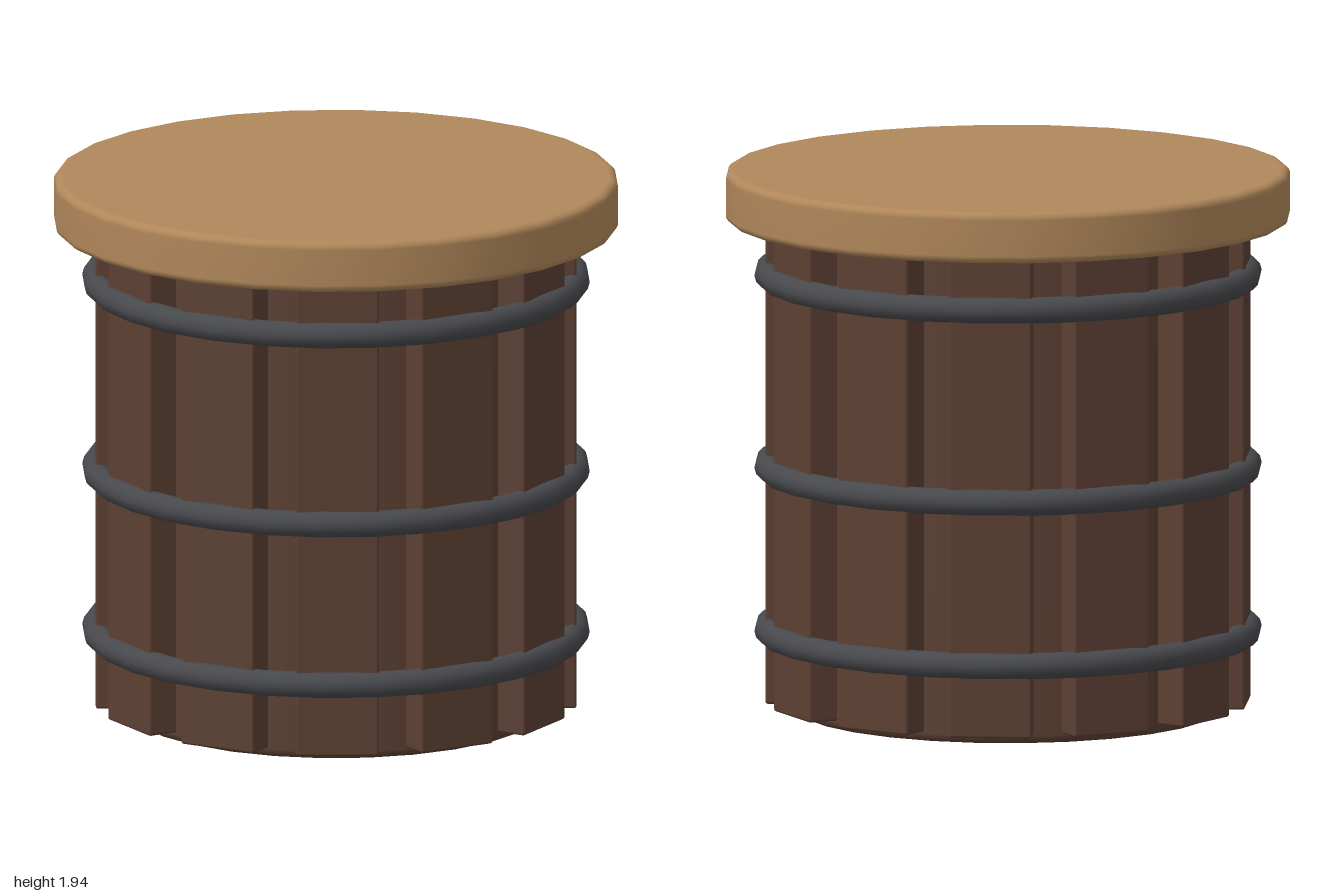
import * as THREE from 'three';
import { RoundedBoxGeometry } from 'three/addons/geometries/RoundedBoxGeometry.js';

const SIDES = 28;

// Solid disc or drum with softly rounded rims
function roundedDrum(radius, y0, y1, bevel) {
  const pts = [new THREE.Vector2(0, y0), new THREE.Vector2(radius - bevel - 0.004, y0)];
  const arc = (cy, from) => {
    for (let i = 0; i <= 4; i++) {
      const a = from + (i / 4) * Math.PI / 2;
      pts.push(new THREE.Vector2(radius - bevel + bevel * Math.cos(a), cy + bevel * Math.sin(a)));
    }
  };
  arc(y0 + bevel, -Math.PI / 2);
  arc(y1 - bevel, 0);
  pts.push(new THREE.Vector2(radius - bevel - 0.004, y1), new THREE.Vector2(0, y1));
  return new THREE.LatheGeometry(pts, SIDES);
}

export function createModel() {
  const darkWood = new THREE.MeshStandardMaterial({ name: 'darkWood', color: 0x5c4033 });
  const lightWood = new THREE.MeshStandardMaterial({ name: 'lightWood', color: 0xb0875a });
  const iron = new THREE.MeshStandardMaterial({ name: 'iron', color: 0x48494d });

  const model = new THREE.Group();
  model.name = 'barrel';
  const add = (name, geometry, material, parent = model) => {
    const mesh = new THREE.Mesh(geometry, material);
    mesh.name = name;
    parent.add(mesh);
    return mesh;
  };

  // Inner drum, showing between the staves and below them
  add('core', roundedDrum(0.76, 0, 1.8, 0.03), darkWood);

  // Ring of twelve flat staves
  const staves = new THREE.Group();
  staves.name = 'staves';
  model.add(staves);
  const staveGeometry = new RoundedBoxGeometry(0.295, 1.75, 0.12, 2, 0.01);
  for (let i = 0; i < 12; i++) {
    const a = (i / 12) * Math.PI * 2;
    const stave = add('stave', staveGeometry, darkWood, staves);
    stave.position.set(0.79 * Math.sin(a), 0.91, 0.79 * Math.cos(a));
    stave.rotation.y = a;
  }

  // Iron hoops
  const hoopGeometry = new THREE.TorusGeometry(0.852, 0.047, 12, SIDES);
  hoopGeometry.rotateX(Math.PI / 2);
  for (const y of [0.295, 0.88, 1.568]) {
    add('hoop', hoopGeometry, iron).position.y = y;
  }

  // Overhanging lid
  add('lid', roundedDrum(1, 1.757, 1.94, 0.027), lightWood);

  return model;
}
